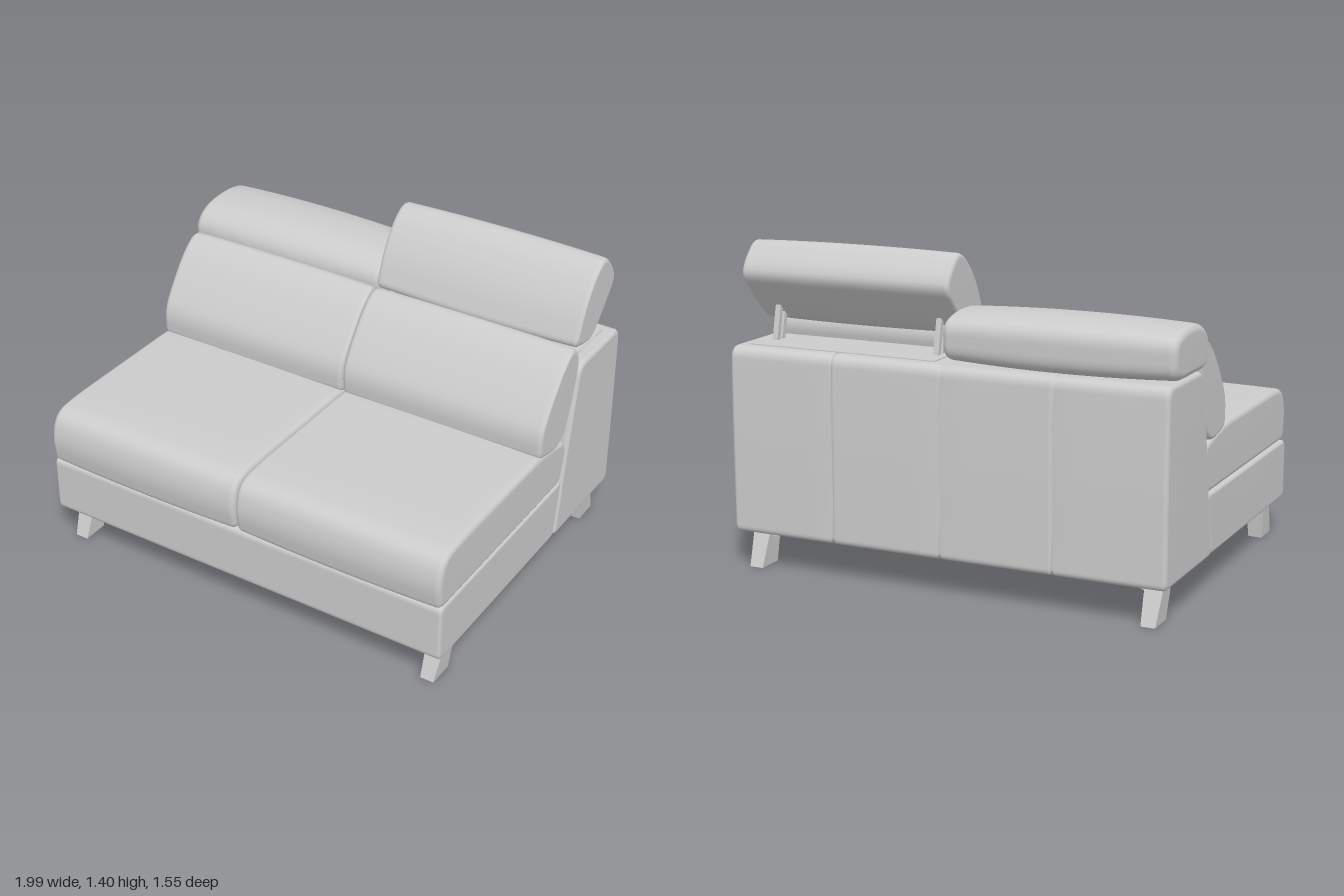
import * as THREE from 'three';

const material = new THREE.MeshStandardMaterial({ color: 0xcccccc, roughness: 0.8 });

function addMesh(parent, name, geometry) {
  const mesh = new THREE.Mesh(geometry, material);
  mesh.name = name;
  parent.add(mesh);
  return mesh;
}

// Side outline from [z, y, cornerRadius] corners, rounded, counter-clockwise.
function outline(corners) {
  const path = new THREE.Path();
  const n = corners.length;
  const toward = (a, b, r) => {
    const p = new THREE.Vector2(a[0], a[1]);
    const d = new THREE.Vector2(b[0], b[1]).sub(p);
    return p.addScaledVector(d, Math.min(r / d.length(), 0.48));
  };
  corners.forEach((c, i) => {
    const start = toward(c, corners[(i + n - 1) % n], c[2]);
    const end = toward(c, corners[(i + 1) % n], c[2]);
    if (i === 0) path.moveTo(start.x, start.y);
    else path.lineTo(start.x, start.y);
    path.quadraticCurveTo(c[0], c[1], end.x, end.y);
  });
  const points = path.getPoints(7);
  if (THREE.ShapeUtils.isClockWise(points)) points.reverse();
  return points;
}

// Upholstered body: the outline swept along x, with rounded ends,
// a soft crown in the middle and optional stitched grooves.
function upholstery(corners, x0, x1, { round = 0.03, crown = 0, seams = [] } = {}) {
  const points = outline(corners);
  const box = new THREE.Box2().setFromPoints(points);
  const mid = box.getCenter(new THREE.Vector2());
  const half = box.getSize(new THREE.Vector2()).multiplyScalar(0.5);
  const sections = [];
  for (let i = 0; i <= 6; i++) {
    const a = (i / 6) * Math.PI / 2;
    const along = round * (1 - Math.sin(a)), inset = round * (1 - Math.cos(a));
    sections.push([x0 + along, inset], [x1 - along, inset]);
  }
  for (let i = 1; i < 16; i++) {
    const x = x0 + round + (x1 - x0 - 2 * round) * i / 16;
    if (!seams.some(s => Math.abs(s - x) < 0.012)) sections.push([x, 0]);
  }
  for (const s of seams) sections.push([s - 0.008, 0], [s, 0.009], [s + 0.008, 0]);
  sections.sort((a, b) => a[0] - b[0]);

  const pos = [], index = [], n = points.length;
  for (const [x, inset] of sections) {
    const t = (x - x0) / (x1 - x0) * 2 - 1;
    const grow = crown * (1 - t * t) - crown - inset;
    for (const p of points) {
      pos.push(x, mid.y + (p.y - mid.y) * (1 + grow / half.y), mid.x + (p.x - mid.x) * (1 + grow / half.x));
    }
  }
  for (let s = 0; s < sections.length - 1; s++) {
    for (let i = 0; i < n; i++) {
      const j = (i + 1) % n, a = s * n, b = a + n;
      index.push(a + i, b + i, b + j, a + i, b + j, a + j);
    }
  }
  // End caps
  const last = (sections.length - 1) * n, c = pos.length / 3;
  pos.push(x0, mid.y, mid.x, x1, mid.y, mid.x);
  for (let i = 0; i < n; i++) {
    const j = (i + 1) % n;
    index.push(c, i, j, c + 1, last + j, last + i);
  }
  const geometry = new THREE.BufferGeometry();
  geometry.setAttribute('position', new THREE.Float32BufferAttribute(pos, 3));
  geometry.setIndex(index);
  geometry.computeVertexNormals();
  return geometry;
}

// Six-sided block between two rectangles [x0, x1, z0, z1] at two heights.
function taperedBlock(low, y0, high, y1, sx = 1, sz = 1, dz = 0) {
  const geometry = new THREE.BoxGeometry(1, 1, 1);
  const p = geometry.attributes.position;
  for (let i = 0; i < p.count; i++) {
    const r = p.getY(i) < 0 ? low : high;
    const x = r[p.getX(i) * sx < 0 ? 0 : 1] * sx;
    const z = r[p.getZ(i) * sz < 0 ? 2 : 3] * sz + dz;
    p.setXYZ(i, x, p.getY(i) < 0 ? y0 : y1, z);
  }
  geometry.computeVertexNormals();
  return geometry;
}

export function createModel() {
  const sofa = new THREE.Group();
  sofa.name = 'sofa';

  // Seat base and back body
  addMesh(sofa, 'seatBase', upholstery([
    [0.755, 0.162, 0.03], [0.755, 0.428, 0.03], [-0.29, 0.428, 0.02], [-0.245, 0.162, 0.02],
  ], -0.98, 0.98, { round: 0.015 }));
  addMesh(sofa, 'backBody', upholstery([
    [-0.245, 0.16, 0.02], [-0.775, 0.16, 0.03], [-0.775, 0.6, 0.2], [-0.768, 0.967, 0.05],
    [-0.385, 0.967, 0.05], [-0.31, 0.58, 0.1],
  ], -0.985, 0.985, { round: 0.02, seams: [-0.5, 0, 0.5] }));

  // Seat and back cushions, one pair per place
  for (const [side, x0, x1] of [['right', -0.97, -0.002], ['left', 0.002, 0.98]]) {
    addMesh(sofa, side + 'SeatCushion', upholstery([
      [0.765, 0.42, 0.03], [0.785, 0.55, 0.08], [0.745, 0.675, 0.09], [0.6, 0.688, 0.08],
      [-0.1, 0.686, 0.1], [-0.31, 0.635, 0.04], [-0.32, 0.56, 0.05], [-0.28, 0.42, 0.03],
    ], x0, x1, { round: 0.024, crown: 0.006 }));
    addMesh(sofa, side + 'BackCushion', upholstery([
      [-0.055, 0.66, 0.03], [-0.21, 0.628, 0.05], [-0.285, 0.665, 0.08], [-0.345, 0.82, 0.08],
      [-0.395, 1.02, 0.05], [-0.325, 1.095, 0.05], [-0.23, 1.03, 0.09], [-0.11, 0.88, 0.08],
      [-0.05, 0.78, 0.06],
    ], x0, x1, { round: 0.022, crown: 0.004 }));
  }

  // Headrests: one folded down, one raised and tilted
  addMesh(sofa, 'loweredHeadrest', upholstery([
    [-0.345, 1.03, 0.06], [-0.39, 0.962, 0.03], [-0.69, 0.962, 0.05], [-0.755, 0.995, 0.05],
    [-0.76, 1.15, 0.06], [-0.63, 1.19, 0.08], [-0.45, 1.185, 0.09], [-0.355, 1.12, 0.07],
  ], -1.0, -0.002, { round: 0.03, crown: 0.014 }));
  addMesh(sofa, 'raisedHeadrest', upholstery([
    [-0.32, 1.065, 0.04], [-0.47, 1.03, 0.06], [-0.54, 1.09, 0.07], [-0.685, 1.25, 0.05],
    [-0.67, 1.31, 0.05], [-0.575, 1.415, 0.06], [-0.48, 1.365, 0.08], [-0.38, 1.23, 0.08],
  ], 0.002, 0.98, { round: 0.02, crown: 0.008 }));

  // Headrest tray and support struts
  addMesh(sofa, 'headrestTray', new THREE.BoxGeometry(0.88, 0.012, 0.24)).position.set(0.49, 0.965, -0.58);
  for (const x of [0.1, 0.87]) {
    for (const z of [-0.55, -0.59]) {
      addMesh(sofa, 'headrestStrut', taperedBlock(
        [x - 0.012, x + 0.012, z - 0.012, z + 0.012], 0.94,
        [x - 0.012, x + 0.012, z + 0.04, z + 0.06], 1.17));
    }
  }

  // Splayed corner legs, each with two bracing wings
  for (const sx of [-1, 1]) {
    for (const sz of [-1, 1]) {
      const leg = new THREE.Group();
      leg.name = (sz > 0 ? 'front' : 'back') + (sx > 0 ? 'Left' : 'Right') + 'Leg';
      const dz = sz > 0 ? 0 : -0.035;
      addMesh(leg, 'legPost', taperedBlock([0.87, 0.932, 0.59, 0.71], 0, [0.862, 0.945, 0.565, 0.645], 0.168, sx, sz, dz));
      addMesh(leg, 'sideWing', taperedBlock([0.85, 0.88, 0.58, 0.63], 0.122, [0.74, 0.88, 0.58, 0.63], 0.168, sx, sz, dz));
      addMesh(leg, 'depthWing', taperedBlock([0.88, 0.93, 0.56, 0.6], 0.122, [0.88, 0.93, 0.47, 0.6], 0.168, sx, sz, dz));
      sofa.add(leg);
    }
  }

  // Rail joining the legs on one side
  addMesh(sofa, 'sideRail', new THREE.BoxGeometry(0.04, 0.045, 1.2)).position.set(-0.9, 0.143, -0.02);

  return sofa;
}
